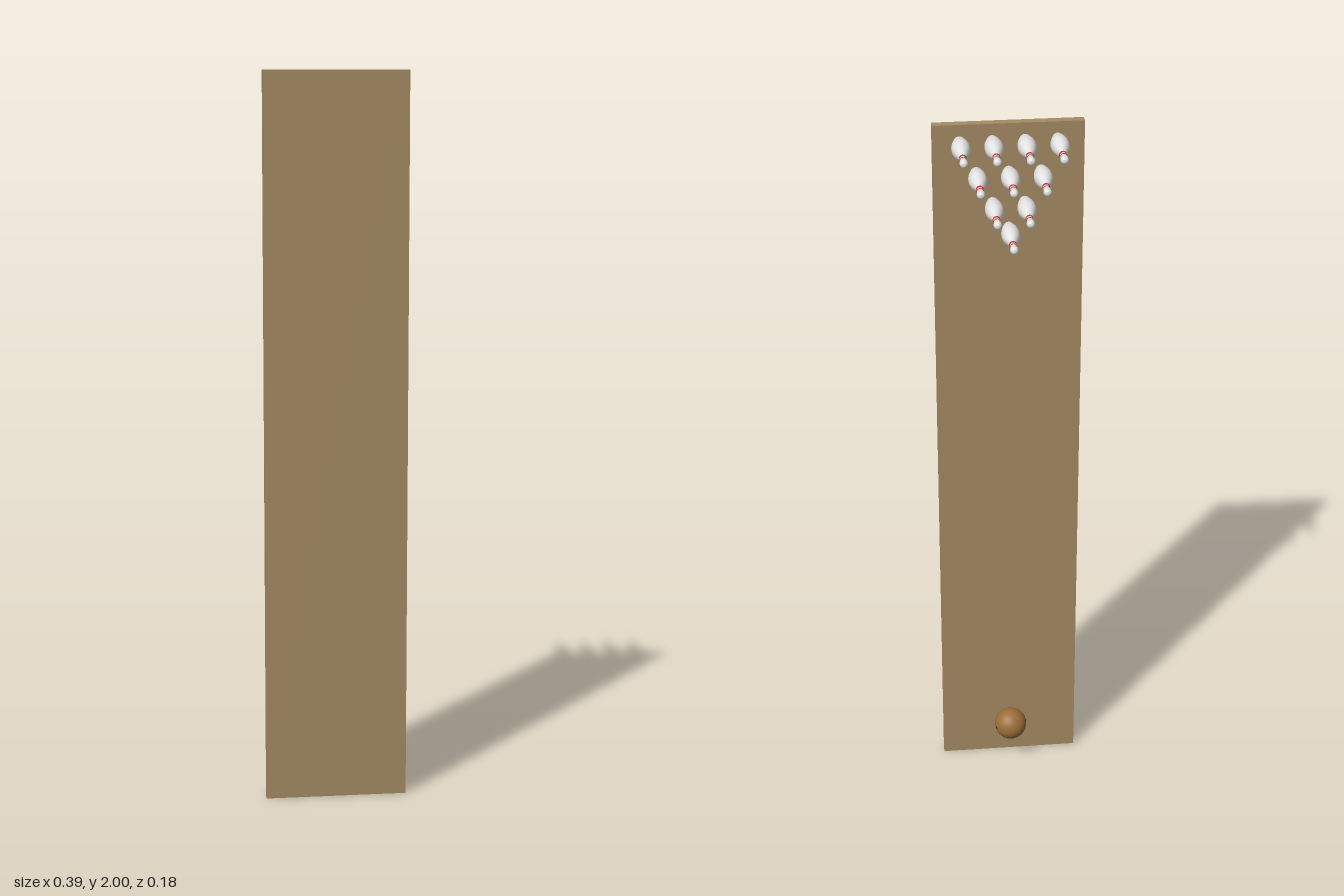
import * as THREE from 'three';

const mat = (name, color) => {
  const m = new THREE.MeshStandardMaterial({ color });
  m.name = name;
  return m;
};

export function createModel() {
  const model = new THREE.Group();
  model.name = 'bowlingLane';

  const laneWood = mat('laneWood', 0xa48b64);
  const pinWhite = mat('pinWhite', 0xe2e2e2);
  const stripeRed = mat('stripeRed', 0xc4322e);
  const ballBrown = mat('ballBrown', 0x9c6d38);
  const holeDark = mat('holeDark', 0x3a2814);

  const add = (parent, name, geometry, material) => {
    const mesh = new THREE.Mesh(geometry, material);
    mesh.name = name;
    parent.add(mesh);
    return mesh;
  };

  // Lane standing on its end; pins and ball sit on its rear face
  const laneFace = 0.067;
  const lane = add(model, 'lane', new THREE.BoxGeometry(0.391, 2, 0.0235), laneWood);
  lane.position.set(0, 1, laneFace + 0.01175);

  // Pin outline as radius, height
  const outline = new THREE.SplineCurve([
    [0.0145, 0], [0.0185, 0.015], [0.0225, 0.032], [0.024, 0.05], [0.0228, 0.067],
    [0.0185, 0.084], [0.0125, 0.1], [0.0088, 0.112], [0.0078, 0.122], [0.0088, 0.132],
    [0.0104, 0.141], [0.0106, 0.147], [0.0088, 0.153], [0.005, 0.1565], [0, 0.1575],
  ].map(([r, h]) => new THREE.Vector2(r, h)));
  const points = outline.getPoints(56).map((p) => new THREE.Vector2(Math.max(0, p.x), p.y));
  const radiusAt = (h) => {
    const i = points.findIndex((p) => p.y >= h);
    const a = points[i - 1], b = points[i];
    return a.x + ((b.x - a.x) * (h - a.y)) / (b.y - a.y);
  };

  // Turned body with a closed base, and two thin neck bands
  const lathe = (profile) => new THREE.LatheGeometry(profile, 32).rotateX(-Math.PI / 2);
  const bodyGeo = lathe(points);
  const baseGeo = new THREE.CircleGeometry(0.0145, 32);
  const bandGeos = [[0.1095, 0.1155], [0.1205, 0.126]].map(([from, to]) => {
    const edge = [];
    for (let i = 0; i <= 4; i++) {
      const h = from + ((to - from) * i) / 4;
      edge.push(new THREE.Vector2(radiusAt(h) + 0.0003, h));
    }
    return lathe(edge);
  });

  // Triangle of ten pins
  const rowHeights = [1.714, 1.785, 1.87, 1.955];
  rowHeights.forEach((y, row) => {
    for (let i = 0; i <= row; i++) {
      const pin = new THREE.Group();
      pin.name = 'pin';
      add(pin, 'pinBody', bodyGeo, pinWhite);
      add(pin, 'pinBase', baseGeo, pinWhite);
      bandGeos.forEach((g) => add(pin, 'neckStripe', g, stripeRed));
      pin.position.set((i - row / 2) * 0.084, y, laneFace);
      model.add(pin);
    }
  });

  // Ball with small finger holes drawn as thin caps
  const ball = new THREE.Group();
  ball.name = 'ball';
  const radius = 0.0467;
  add(ball, 'ballBody', new THREE.SphereGeometry(radius, 40, 28), ballBrown);
  const holeGeo = new THREE.SphereGeometry(radius + 0.0003, 16, 3, 0, Math.PI * 2, 0, 0.09);
  const up = new THREE.Vector3(0, 1, 0);
  [[0.92, -0.02, -0.38], [-0.96, 0.21, -0.15]].forEach((d) => {
    const hole = add(ball, 'fingerHole', holeGeo, holeDark);
    hole.quaternion.setFromUnitVectors(up, new THREE.Vector3(...d).normalize());
  });
  ball.position.set(0, 0.128, laneFace - radius);
  model.add(ball);

  return model;
}
